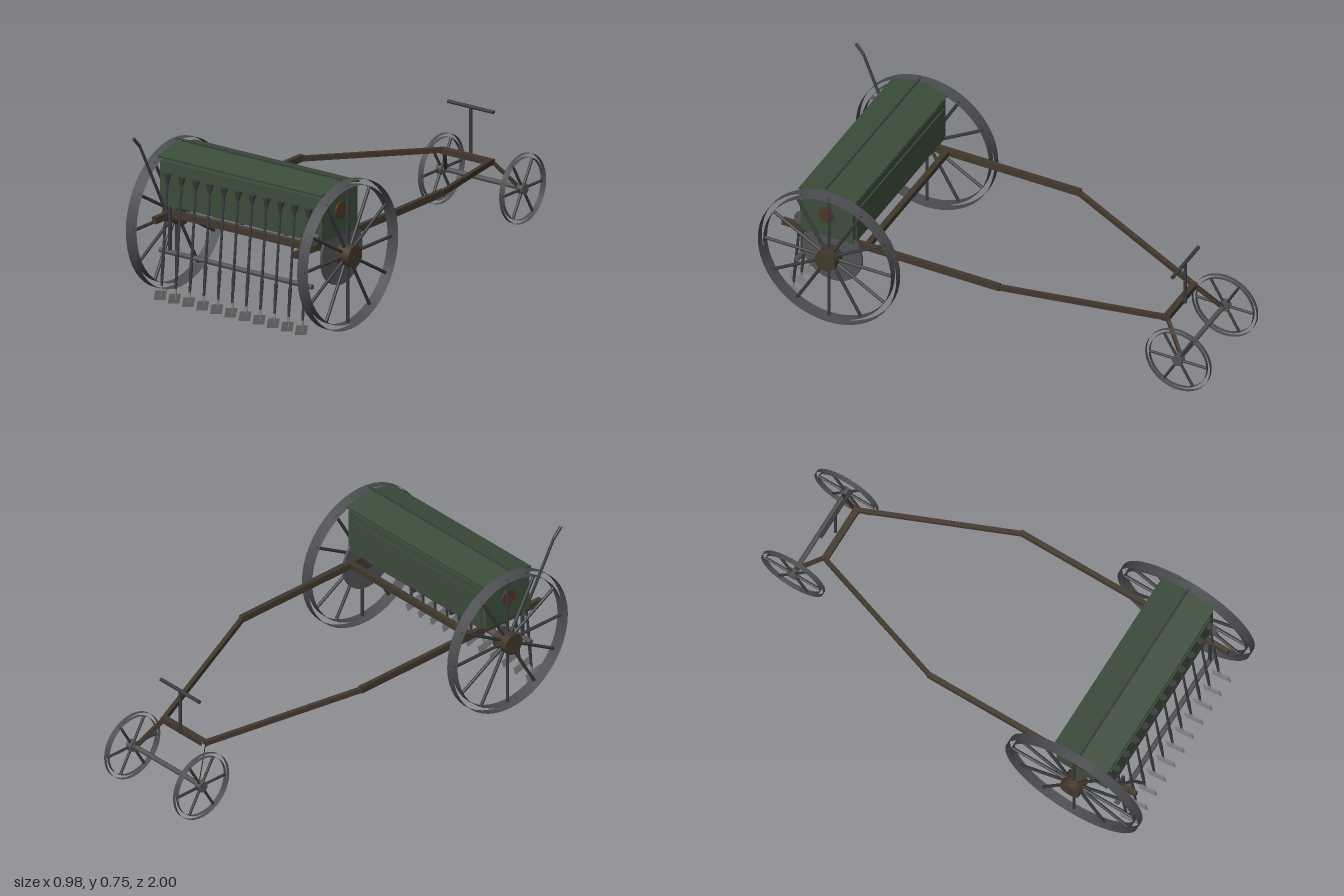
import * as THREE from 'three';

const mat = (name, color, side = THREE.FrontSide) => {
  const m = new THREE.MeshStandardMaterial({ color, side });
  m.name = name;
  return m;
};

export function createModel() {
  const root = new THREE.Group();
  root.name = 'seedDrill';
  const green = mat('hopper green', 0x3c4d3b);
  const wood = mat('dark timber', 0x42382c);
  const iron = mat('dark iron', 0x38393b);
  const steel = mat('grey steel', 0x515254);
  const rimSteel = mat('rim steel', 0x4c4d50, THREE.DoubleSide);
  const bright = mat('worn steel', 0x858687);
  const rust = mat('rust brown', 0x4e3526);

  const add = (parent, name, geo, material, x = 0, y = 0, z = 0) => {
    const m = new THREE.Mesh(geo, material);
    m.name = name;
    m.position.set(x, y, z);
    parent.add(m);
    return m;
  };
  const box = (name, w, h, d, material, x, y, z, parent = root) =>
    add(parent, name, new THREE.BoxGeometry(w, h, d), material, x, y, z);
  // cylinder lying along x
  const axleRod = (name, r, len, material, x, y, z, parent = root, seg = 24) =>
    add(parent, name, new THREE.CylinderGeometry(r, r, len, seg).rotateZ(Math.PI / 2), material, x, y, z);
  // round rod between two points (r0 at the start, r1 at the end)
  const rod = (name, a, b, r0, r1, material, parent = root) => {
    const A = new THREE.Vector3(...a), B = new THREE.Vector3(...b);
    const dir = B.clone().sub(A);
    const m = add(parent, name, new THREE.CylinderGeometry(r1, r0, dir.length(), 12), material);
    m.position.copy(A).add(B).multiplyScalar(0.5);
    m.quaternion.setFromUnitVectors(new THREE.Vector3(0, 1, 0), dir.normalize());
    return m;
  };
  // square beam between two points
  const beam = (name, a, b, w, h, material) => {
    const A = new THREE.Vector3(...a), B = new THREE.Vector3(...b);
    const m = box(name, w, h, A.distanceTo(B), material, 0, 0, 0);
    m.position.copy(A).add(B).multiplyScalar(0.5);
    m.lookAt(B);
    return m;
  };

  // spoked wheel: rim is two open hoops
  const wheel = (name, x, z, r, inner, width, spokes, spokeR, hubR, hubLen, hubMat) => {
    const g = new THREE.Group();
    g.name = name;
    g.position.set(x, r, z);
    for (const [part, radius] of [['outerRim', r], ['innerRim', inner]])
      add(g, part, new THREE.CylinderGeometry(radius, radius, width, 48, 1, true).rotateZ(Math.PI / 2), rimSteel);
    for (let i = 0; i < spokes; i++) {
      const a = (i / spokes) * Math.PI * 2;
      const c = Math.cos(a), s = Math.sin(a);
      rod('spoke', [0, s * hubR * 0.5, c * hubR * 0.5], [0, s * inner, c * inner], spokeR, spokeR, iron, g);
    }
    axleRod('hub', hubR, hubLen, hubMat, 0, 0, 0, g);
    root.add(g);
  };

  const ZA = 0.672, ZF = -0.847;
  for (const s of [-1, 1]) {
    wheel('driveWheel', s * 0.449, ZA, 0.325, 0.3, 0.037, 12, 0.007, 0.048, 0.08, wood);
    wheel('frontWheel', s * 0.213, ZF, 0.152, 0.135, 0.016, 6, 0.006, 0.024, 0.028, steel);

    // frame rails and converging drawbars
    box('sideRail', 0.02, 0.03, 1.02, wood, s * 0.37, 0.375, 0.42);
    beam('drawbar', [s * 0.37, 0.373, -0.08], [s * 0.125, 0.28, -0.75], 0.018, 0.022, wood);
    beam('axleStrut', [s * 0.125, 0.28, -0.75], [s * 0.19, 0.157, ZF], 0.014, 0.018, wood);

    // hopper end details and supports
    axleRod('endBoss', 0.036, 0.008, rust, s * 0.43, 0.524, 0.695);
    box('hopperStrut', 0.012, 0.11, 0.02, iron, s * 0.117, 0.36, 0.66);
    box('barHanger', 0.012, 0.2, 0.012, iron, s * 0.347, 0.32, 0.85);
  }
  axleRod('mainAxle', 0.015, 0.9, steel, 0, 0.325, ZA);
  axleRod('frontAxle', 0.011, 0.42, steel, 0, 0.154, ZF);
  box('rearCrossbar', 0.75, 0.026, 0.024, wood, 0, 0.375, 0.535);
  box('frontCrossbar', 0.77, 0.028, 0.024, wood, 0, 0.375, 0.81);
  box('bolster', 0.27, 0.024, 0.028, wood, 0, 0.278, -0.745);

  // steering handle
  rod('handlePost', [0, 0.28, -0.77], [0, 0.49, -0.77], 0.007, 0.007, iron);
  axleRod('handleBar', 0.008, 0.24, iron, 0, 0.49, -0.77);

  // seed hopper with gabled lid
  box('hopper', 0.85, 0.19, 0.246, green, 0, 0.505, 0.695);
  box('hopperFrontPanel', 0.8, 0.155, 0.008, green, 0, 0.4875, 0.82);
  box('hopperBackPanel', 0.8, 0.155, 0.008, green, 0, 0.4875, 0.57);
  for (const s of [-1, 1]) {
    const lid = box('hopperLid', 0.86, 0.008, 0.134, green, 0, 0.632, 0.695 + s * 0.064);
    lid.rotation.x = s * 0.225;
  }
  axleRod('ridgeRod', 0.004, 0.865, iron, 0, 0.662, 0.695, root, 12);

  // drive gear on the left side
  axleRod('gearDisc', 0.14, 0.011, steel, 0.415, 0.328, ZA, root, 40);
  axleRod('pinion', 0.032, 0.01, steel, 0.393, 0.437, 0.83);
  axleRod('pinionShaft', 0.012, 0.028, steel, 0.407, 0.437, 0.83);

  // seed tubes: funnel, hose, lower sleeve and shoe
  for (let i = 0; i < 11; i++) {
    const x = -0.37 + i * 0.074;
    rod('seedFunnel', [x, 0.515, 0.839], [x, 0.555, 0.835], 0.006, 0.016, iron);
    rod('seedTube', [x, 0.52, 0.838], [x, 0.2, 0.867], 0.005, 0.006, iron);
    rod('coulterSleeve', [x, 0.2, 0.867], [x, 0.06, 0.88], 0.008, 0.005, iron);
    rod('coulterTip', [x, 0.075, 0.879], [x, 0.03, 0.883], 0.006, 0.006, bright);
    box('coulterShoe', 0.008, 0.04, 0.084, bright, x, 0.036, 0.893).rotation.x = -0.27;
  }
  axleRod('coulterBar', 0.011, 0.8, steel, 0, 0.219, 0.85);

  // lift lever
  rod('leverArm', [-0.4, 0.37, 0.805], [-0.425, 0.7, 0.957], 0.007, 0.006, iron);
  rod('leverGrip', [-0.425, 0.7, 0.957], [-0.428, 0.742, 0.995], 0.007, 0.007, iron);

  return root;
}
